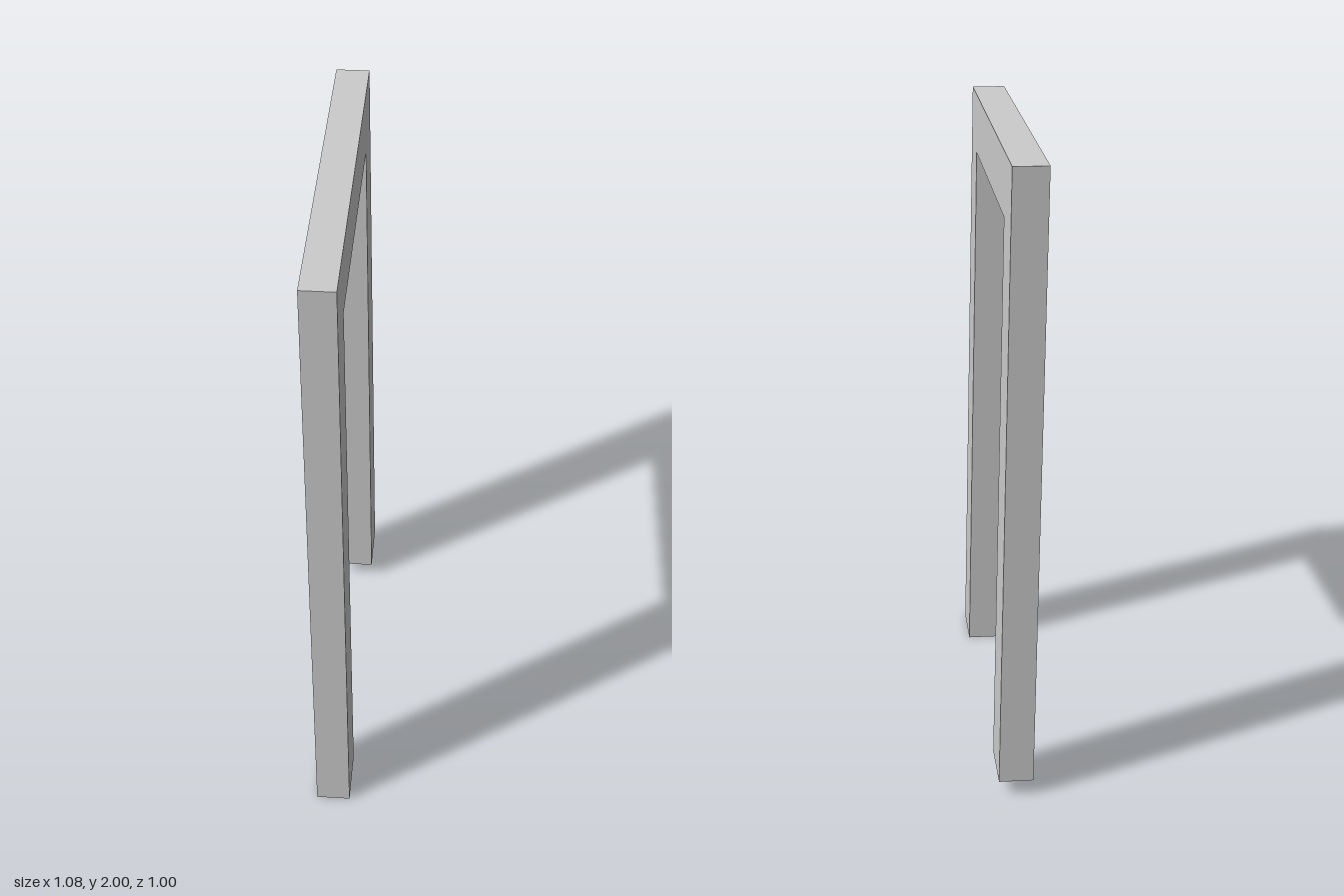
import * as THREE from 'three';

const LENGTH = 1.326, DEPTH = 0.108, HEIGHT = 2;
const BEAM_BOTTOM = 1.81;
const LEG_A = 0.197, LEG_B = 0.19; // leg widths
const FOOT_A = 0.05; // the one leg ends slightly higher

export function createModel() {
  const group = new THREE.Group();
  group.name = 'doorFrame';

  // Outline of two legs joined by a lintel
  const outline = new THREE.Shape([
    [0, FOOT_A], [LEG_A, FOOT_A], [LEG_A, BEAM_BOTTOM],
    [LENGTH - LEG_B, BEAM_BOTTOM], [LENGTH - LEG_B, 0], [LENGTH, 0],
    [LENGTH, HEIGHT], [0, HEIGHT],
  ].map(([x, y]) => new THREE.Vector2(x, y)));
  const geometry = new THREE.ExtrudeGeometry(outline, { depth: DEPTH, bevelEnabled: false });

  // Turn the frame diagonally and lean its uprights, keeping the top level
  const along = new THREE.Vector3(0.977, 0, 0.897).normalize();
  const up = new THREE.Vector3(-0.0135, 1, 0.0138);
  const across = new THREE.Vector3(-along.z, 0, along.x);
  const placement = new THREE.Matrix4().makeBasis(along, up, across);
  placement.setPosition(-0.438, 0, -0.5035);
  geometry.applyMatrix4(placement);
  geometry.computeVertexNormals();

  const frame = new THREE.Mesh(geometry, new THREE.MeshStandardMaterial({ color: 0xcccccc, flatShading: true }));
  frame.name = 'legsAndLintel';
  group.add(frame);
  return group;
}
